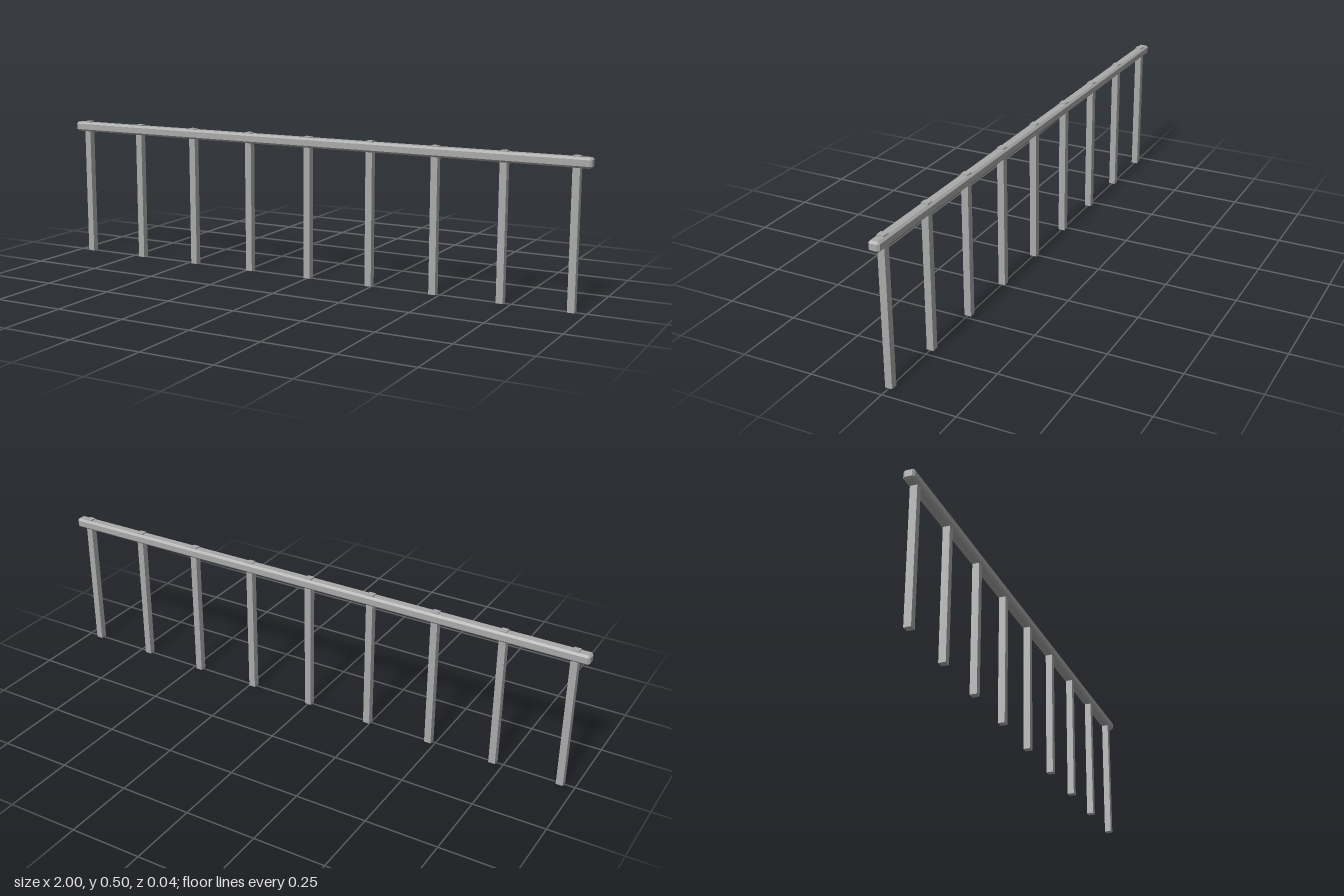
import * as THREE from 'three';
import { ConvexGeometry } from 'three/addons/geometries/ConvexGeometry.js';

// Box with every edge and corner cut by one flat chamfer; hx, hy, hz are half sizes
function chamferedBox(hx, hy, hz, c) {
  const points = [];
  for (const sx of [-1, 1]) for (const sy of [-1, 1]) for (const sz of [-1, 1]) {
    points.push(
      new THREE.Vector3(sx * hx, sy * (hy - c), sz * (hz - c)),
      new THREE.Vector3(sx * (hx - c), sy * hy, sz * (hz - c)),
      new THREE.Vector3(sx * (hx - c), sy * (hy - c), sz * hz));
  }
  return new ConvexGeometry(points);
}

export function createModel() {
  const model = new THREE.Group();
  model.name = 'railing';
  const metal = new THREE.MeshStandardMaterial({ color: 0xaaaaaa });
  metal.name = 'grey metal';

  // Long chamfered handrail
  const rail = new THREE.Mesh(chamferedBox(1, 0.017, 0.019, 0.0068), metal);
  rail.name = 'handrail';
  rail.position.y = 0.481;
  model.add(rail);

  // Nine square posts whose tops poke just through the rail
  const height = 0.502;
  const postGeometry = new THREE.BoxGeometry(0.024, height, 0.024);
  for (let i = 0; i < 9; i++) {
    const post = new THREE.Mesh(postGeometry, metal);
    post.name = `post${i + 1}`;
    post.position.set(-0.95 + i * 0.2375, height / 2, 0);
    model.add(post);
  }
  return model;
}
